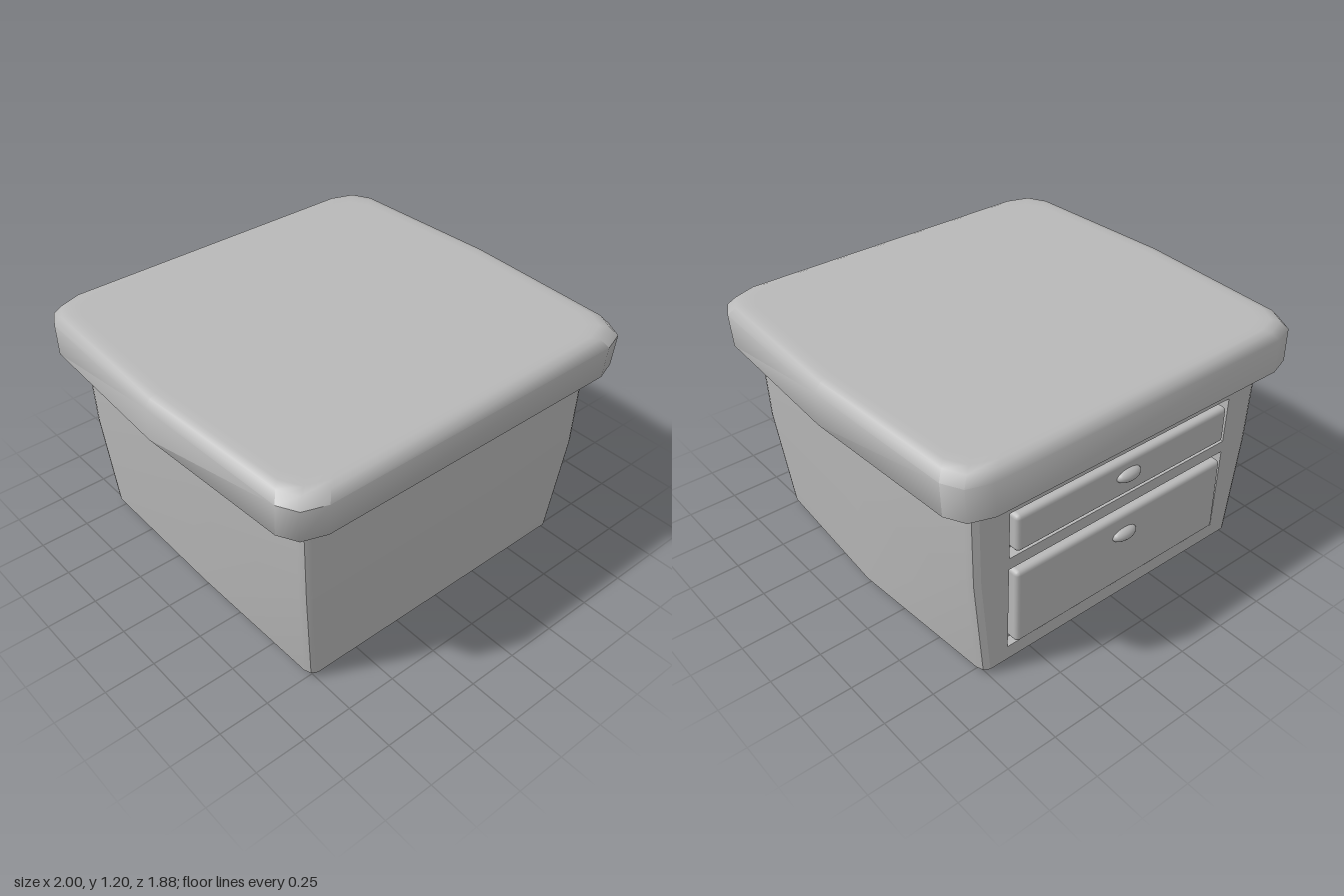
import * as THREE from 'three';
import { toCreasedNormals } from 'three/addons/utils/BufferGeometryUtils.js';
import { RoundedBoxGeometry } from 'three/addons/geometries/RoundedBoxGeometry.js';

// Ring with clipped corners and bowed sides: corner x, bow right/left, front z, back z, clip sizes.
function ring({ y, x, r, l, f, b, cx, cz }) {
  const k = 0.3;
  return [
    [x, f - cz], [r, 0], [x, b + cz], [x - k * cx, b + k * cz], [x - cx, b],
    [cx - x, b], [k * cx - x, b + k * cz], [-x, b + cz], [-l, 0], [-x, f - cz],
    [k * cx - x, f - k * cz], [cx - x, f], [x - cx, f], [x - k * cx, f - k * cz],
  ].map(([px, pz]) => [px, y, pz]);
}

// Skin a stack of rings, close the ends, and optionally leave quads out.
function loft(sections, crease, { top = true, skip = () => false } = {}) {
  const rings = sections.map(ring);
  const n = rings[0].length;
  const pos = [];
  const tri = (...pts) => pts.forEach((p) => pos.push(...p));
  for (let i = 0; i < rings.length - 1; i++) {
    for (let j = 0; j < n; j++) {
      if (skip(i, j)) continue;
      const m = (j + 1) % n;
      tri(rings[i][j], rings[i][m], rings[i + 1][m]);
      tri(rings[i][j], rings[i + 1][m], rings[i + 1][j]);
    }
  }
  const low = rings[0], high = rings[rings.length - 1];
  for (let j = 0; j < n; j++) {
    const m = (j + 1) % n;
    tri([0, low[0][1], 0], low[m], low[j]);
    if (top) tri([0, high[0][1], 0], high[j], high[m]);
  }
  const geo = new THREE.BufferGeometry();
  geo.setAttribute('position', new THREE.Float32BufferAttribute(pos, 3));
  return toCreasedNormals(geo, crease);
}

export function createModel() {
  const group = new THREE.Group();
  const grey = new THREE.MeshStandardMaterial({ color: 0xb8b8b8 });
  grey.name = 'grey';
  const add = (name, geo, x = 0, y = 0, z = 0) => {
    const mesh = new THREE.Mesh(geo, grey);
    mesh.name = name;
    mesh.position.set(x, y, z);
    group.add(mesh);
    return mesh;
  };

  // Tapered cabinet, open where the drawer panel sits
  const backZ = (y) => -0.815 - 0.017 * (y - 0.03);
  const c = { cx: 0.04, cz: 0.05 };
  const body = [
    { y: 0, x: 0.73, r: 0.76, l: 0.74, f: 0.71, b: -0.75, ...c },
    { y: 0.03, x: 0.78, r: 0.83, l: 0.79, f: 0.78, b: backZ(0.03), ...c },
    { y: 0.55, x: 0.83, r: 0.855, l: 0.84, f: 0.82, b: backZ(0.55), ...c },
    { y: 0.92, x: 0.84, r: 0.865, l: 0.86, f: 0.825, b: backZ(0.92), ...c },
  ];
  add('cabinet', loft(body, 0.5, { top: false, skip: (i, j) => i > 0 && j === 4 }));

  // Rear panel with two drawer openings
  const edge = body.slice(1).map((s) => new THREE.Vector2(s.x - s.cx, s.y));
  const outline = [...edge, ...edge.map((p) => new THREE.Vector2(-p.x, p.y)).reverse()];
  const panel = new THREE.Shape(outline);
  for (const [y0, y1] of [[0.105, 0.555], [0.615, 0.855]]) {
    panel.holes.push(new THREE.Path([[-0.645, y0], [-0.645, y1], [0.645, y1], [0.645, y0]]
      .map(([x, y]) => new THREE.Vector2(x, y))));
  }
  const panelGeo = new THREE.ExtrudeGeometry(panel, { depth: 0.06, bevelEnabled: false });
  const p = panelGeo.attributes.position;
  for (let i = 0; i < p.count; i++) p.setZ(i, p.getZ(i) + backZ(p.getY(i)));
  panelGeo.computeVertexNormals();
  add('drawerFrame', panelGeo);
  add('recessFloor', new THREE.BoxGeometry(1.36, 0.8, 0.02), 0, 0.48, -0.76);

  // Drawers and their oval knobs
  for (const [name, y, h, knobY] of [['lower', 0.33, 0.4, 0.42], ['upper', 0.735, 0.19, 0.75]]) {
    add(name + 'Drawer', new RoundedBoxGeometry(1.24, h, 0.1, 2, 0.022), 0, y, -0.796);
    const knob = new THREE.SphereGeometry(1, 20, 12);
    knob.scale(0.07, 0.033, 0.035);
    add(name + 'Knob', knob, 0, knobY, -0.845);
  }

  // Thick overhanging lid with softened edges
  const k = { cx: 0.16, cz: 0.13 };
  add('lid', loft([
    { y: 0.91, x: 0.83, r: 0.86, l: 0.855, f: 0.82, b: -0.83, cx: 0.05, cz: 0.05 },
    { y: 0.955, x: 0.92, r: 0.965, l: 0.96, f: 0.89, b: -0.895, cx: 0.12, cz: 0.1 },
    { y: 0.99, x: 0.96, r: 1, l: 1, f: 0.93, b: -0.94, ...k },
    { y: 1.15, x: 0.965, r: 1, l: 1, f: 0.942, b: -0.935, ...k },
    { y: 1.19, x: 0.935, r: 0.97, l: 0.975, f: 0.91, b: -0.91, ...k },
    { y: 1.2, x: 0.9, r: 0.94, l: 0.94, f: 0.88, b: -0.88, ...k },
    { y: 1.2, x: 0.86, r: 0.9, l: 0.9, f: 0.84, b: -0.84, ...k },
  ], 0.85));

  return group;
}
